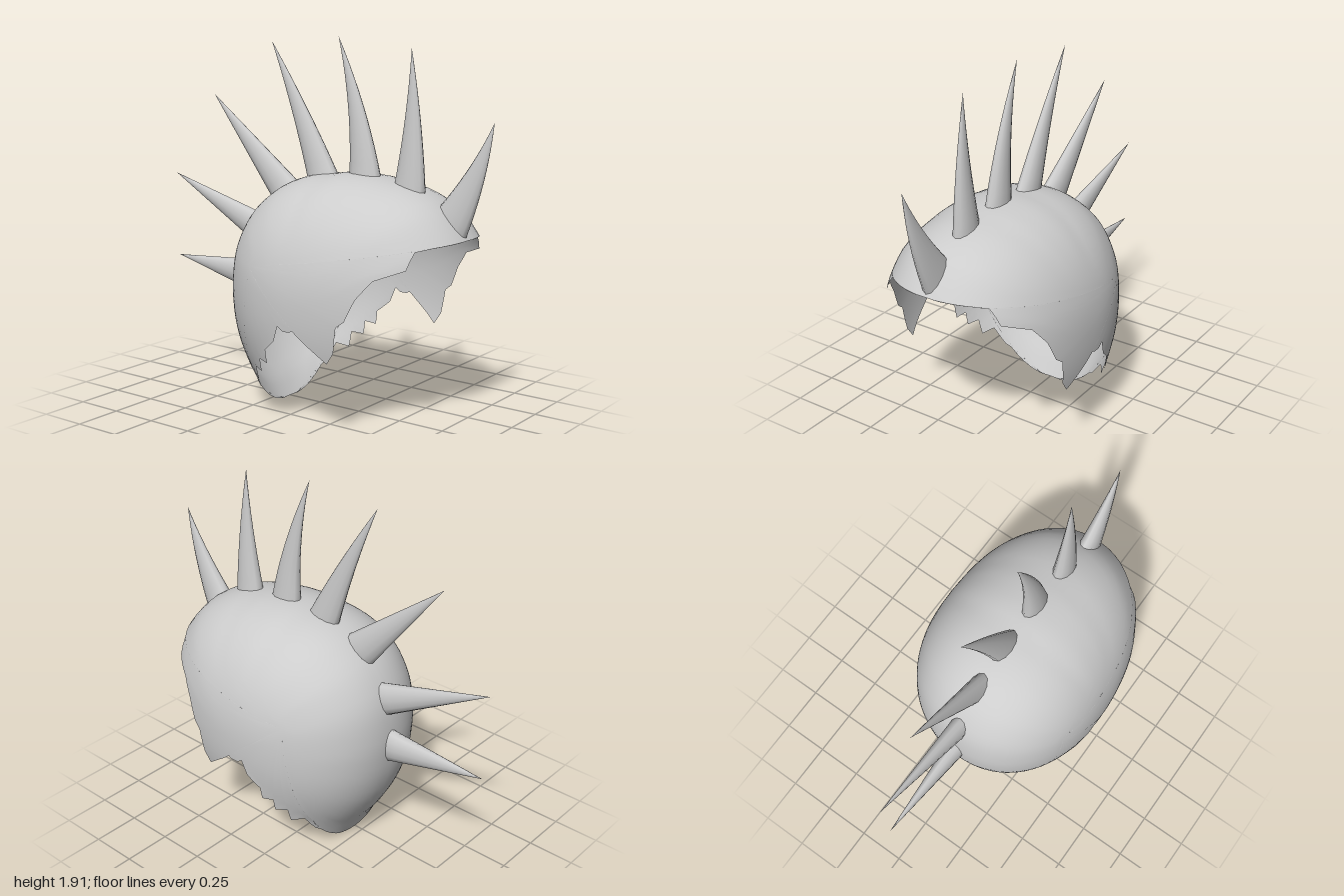
import * as THREE from 'three';
import { mergeVertices } from 'three/addons/utils/BufferGeometryUtils.js';

const CZ = 0.2, CY = 0.62, HALF_WIDTH = 0.52; // centre of the skull form
const POLE = [-0.1, 0.8];                     // where the side meshes fan out from

// side outline: angle (degrees, from +z towards +y), radius
const OUTLINE = [
  [0, 0.74], [27.2, 0.754], [43.3, 0.729], [52, 0.698], [67, 0.645], [80.8, 0.623],
  [99.4, 0.613], [121.7, 0.647], [139.3, 0.66], [156.6, 0.654], [171, 0.638],
  [186.3, 0.634], [200, 0.644], [217, 0.664], [229.7, 0.69], [237.2, 0.738],
  [270, 0.7], [315, 0.72], [360, 0.74],
];

// torn rim (z, y) from the nape forward to the brow
const RIM = [
  [-0.195, 0], [-0.2, 0.03], [-0.19, 0.1], [-0.17, 0.13], [-0.15, 0.22], [-0.09, 0.2],
  [-0.09, 0.28], [-0.03, 0.27], [-0.03, 0.34], [0.03, 0.33], [0.03, 0.4], [0.1, 0.46],
  [0.13, 0.54], [0.16, 0.52], [0.2, 0.52], [0.22, 0.53], [0.27, 0.49], [0.31, 0.46],
  [0.35, 0.43], [0.4, 0.39], [0.44, 0.45], [0.46, 0.58], [0.5, 0.61], [0.55, 0.72],
  [0.62, 0.81], [0.745, 0.86], [0.76, 0.94], [0.82, 0.955], [0.868, 0.962],
];

function outlineRadius(deg) {
  const a = (deg + 360) % 360;
  let i = 0;
  while (i < OUTLINE.length - 2 && OUTLINE[i + 1][0] < a) i++;
  const [a0, r0] = OUTLINE[i], [a1, r1] = OUTLINE[i + 1];
  return r0 + (r1 - r0) * (a - a0) / (a1 - a0);
}

// half width of the skull at a point of the side view
function halfWidth(z, y) {
  const deg = THREE.MathUtils.radToDeg(Math.atan2(y - CY, z - CZ));
  const r = Math.min(1, Math.hypot(z - CZ, y - CY) / outlineRadius(deg));
  return HALF_WIDTH * Math.pow(1 - Math.pow(r, 2.15), 1 / 2.15);
}

// closed side boundary: smooth crest, then the torn rim in short steps
function sideBoundary() {
  const pts = [];
  const from = 27.2, to = 237.2, n = 44;
  for (let i = 0; i <= n; i++) {
    const deg = from + (to - from) * i / n, a = THREE.MathUtils.degToRad(deg);
    const r = outlineRadius(deg);
    pts.push({ z: CZ + r * Math.cos(a), y: Math.max(0, CY + r * Math.sin(a)), crest: true });
  }
  RIM.forEach(([z, y], i) => {
    const [z1, y1] = RIM[Math.min(i + 1, RIM.length - 1)];
    const steps = Math.max(1, Math.ceil(Math.hypot(z1 - z, y1 - y) / 0.045));
    for (let k = 0; k < steps; k++) {
      pts.push({ z: z + (z1 - z) * k / steps, y: y + (y1 - y) * k / steps, crest: false });
    }
  });
  return pts;
}

function capGeometry() {
  const boundary = sideBoundary(), rows = 18, n = boundary.length;
  const position = [], index = [];
  for (const side of [1, -1]) {
    const start = position.length / 3;
    for (const b of boundary) {
      for (let j = 0; j <= rows; j++) {
        const s = Math.sin(j / rows * Math.PI / 2);
        const z = POLE[0] + (b.z - POLE[0]) * s, y = POLE[1] + (b.y - POLE[1]) * s;
        const x = b.crest && j === rows ? 0 : halfWidth(z, y);
        position.push(side * x, y, z);
      }
    }
    for (let i = 0; i < n; i++) {
      for (let j = 0; j < rows; j++) {
        const a = start + i * (rows + 1) + j, b = start + ((i + 1) % n) * (rows + 1) + j;
        const tris = [[a, b + 1, a + 1]];
        if (j > 0) tris.push([a, b, b + 1]);
        for (const [p, q, r] of tris) index.push(...(side > 0 ? [p, q, r] : [p, r, q]));
      }
    }
  }
  let g = new THREE.BufferGeometry();
  g.setAttribute('position', new THREE.Float32BufferAttribute(position, 3));
  g.setIndex(index);
  g = mergeVertices(g, 1e-4);
  g.computeVertexNormals();
  return g;
}

// tapering horn from a slanted oval base: base ends and tip as (z, y), forward bend
function spikeGeometry([z0, y0], [z1, y1], [tz, ty], bend) {
  const sides = 12, rows = 10;
  const mz = (z0 + z1) / 2, my = (y0 + y1) / 2, dz = (z0 - z1) / 2, dy = (y0 - y1) / 2;
  const g = new THREE.CylinderGeometry(0, 1, 1, sides, rows, true);
  const p = g.attributes.position;
  for (let i = 0; i < p.count; i++) {
    const t = p.getY(i) + 0.5, k = 1 - t;
    const c = p.getZ(i), s = p.getX(i); // already tapered to the tip
    p.setXYZ(i,
      s * 0.05,
      my + (ty - my) * t + dy * c,
      mz + (tz - mz) * t + 4 * bend * t * k + dz * c);
  }
  g.deleteAttribute('normal');
  g.deleteAttribute('uv');
  const merged = mergeVertices(g, 1e-5);
  merged.computeVertexNormals();
  return merged;
}

const SPIKES = [
  [[0.86, 0.97], [0.72, 1.12], [1, 1.53], 0.02],
  [[0.63, 1.165], [0.46, 1.205], [0.545, 1.86], 0.012],
  [[0.37, 1.225], [0.19, 1.225], [0.115, 1.91], 0.025],
  [[0.11, 1.22], [-0.07, 1.18], [-0.31, 1.88], 0.012],
  [[-0.14, 1.16], [-0.29, 1.04], [-0.71, 1.59], 0],
  [[-0.34, 0.96], [-0.415, 0.8], [-1, 1.14], 0],
  [[-0.43, 0.715], [-0.425, 0.53], [-0.99, 0.675], 0],
];

export function createModel() {
  const model = new THREE.Group();
  model.name = 'spikedCap';
  const grey = new THREE.MeshStandardMaterial({ color: 0xcccccc, side: THREE.DoubleSide });
  grey.name = 'light grey';

  // thin torn skull cap
  const cap = new THREE.Mesh(capGeometry(), grey);
  cap.name = 'cap';
  model.add(cap);

  // row of spikes from brow to nape
  const crest = new THREE.Group();
  crest.name = 'spikeRow';
  SPIKES.forEach((spec, i) => {
    const spike = new THREE.Mesh(spikeGeometry(...spec), grey);
    spike.name = `spike${i + 1}`;
    crest.add(spike);
  });
  model.add(crest);
  return model;
}
